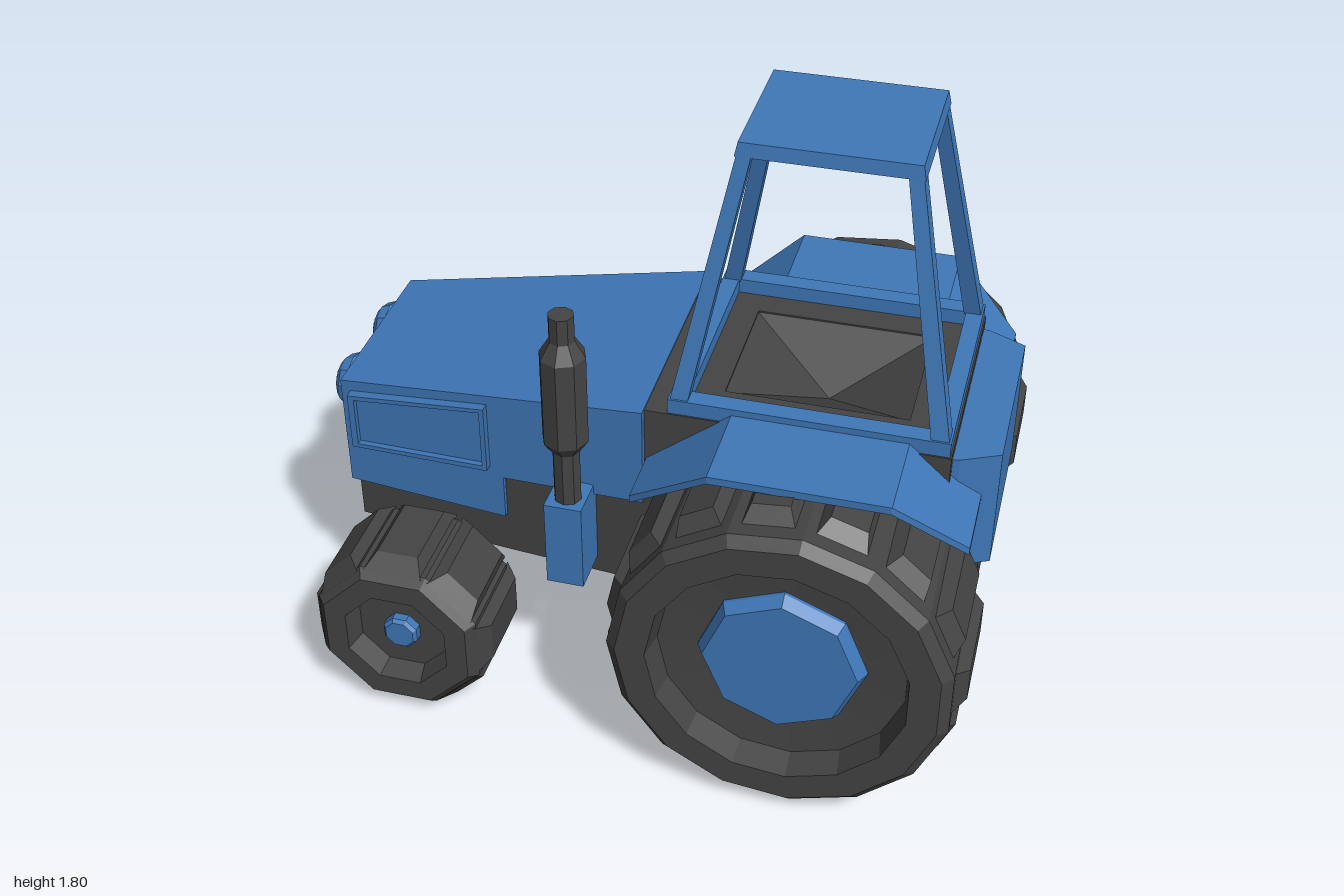
import * as THREE from 'three';

const mat = (color) => new THREE.MeshStandardMaterial({ color, flatShading: true, side: THREE.DoubleSide });

// Box between two rectangles [x0, x1, z0, z1] at heights y0 and y1
function taper(y0, a, y1, b) {
  const g = new THREE.BoxGeometry(1, 1, 1), p = g.attributes.position;
  for (let i = 0; i < p.count; i++) {
    const up = p.getY(i) > 0, r = up ? b : a;
    p.setXYZ(i, r[p.getX(i) > 0 ? 1 : 0], up ? y1 : y0, r[p.getZ(i) > 0 ? 3 : 2]);
  }
  g.computeVertexNormals();
  return g;
}

// Rectangular sections [x, yBottom, yTop, halfWidth] joined along x
function loft(sections) {
  const pos = [], idx = [], n = sections.length;
  for (const [x, b, t, w] of sections) pos.push(x, b, -w, x, b, w, x, t, w, x, t, -w);
  for (let i = 0; i < n - 1; i++) for (let k = 0; k < 4; k++) {
    const a = i * 4 + k, b = i * 4 + (k + 1) % 4;
    idx.push(a, a + 4, b + 4, a, b + 4, b);
  }
  const e = (n - 1) * 4;
  idx.push(0, 1, 2, 0, 2, 3, e, e + 2, e + 1, e, e + 3, e + 2);
  const g = new THREE.BufferGeometry();
  g.setAttribute('position', new THREE.Float32BufferAttribute(pos, 3));
  g.setIndex(idx);
  const flat = g.toNonIndexed();
  flat.computeVertexNormals();
  return flat;
}

// Turned part with its axis along +z; points are [radius, z]
function turned(points, sides, turn = 0) {
  const g = new THREE.LatheGeometry(points.map(([r, z]) => new THREE.Vector2(r, z)), sides);
  return g.rotateX(Math.PI / 2).rotateZ(turn);
}

export function createModel() {
  const blue = mat(0x3f78b8), dark = mat(0x444444);
  const model = new THREE.Group();
  model.name = 'tractor';
  const add = (name, geo, m, parent = model) => {
    const mesh = new THREE.Mesh(geo, m);
    mesh.name = name;
    parent.add(mesh);
    return mesh;
  };

  // Chassis, engine block and rear housing
  add('chassis', loft([[-0.91, 0.38, 0.56, 0.265], [-0.42, 0.38, 0.7, 0.315], [0.04, 0.385, 0.75, 0.36]]), dark);
  add('rearHousing', loft([[0.012, 0.385, 0.87, 0.355], [0.2, 0.26, 0.87, 0.355], [0.88, 0.26, 0.44, 0.355]]), dark);
  add('rearCore', taper(0.44, [0.3, 0.865, -0.355, 0.355], 0.87, [0.3, 0.865, -0.355, 0.355]), dark);
  add('rearSupport', loft([[0.86, 0.44, 0.62, 0.285], [0.89, 0.44, 0.62, 0.28], [0.96, 0.44, 0.62, 0.24]]), dark);

  // Hood with deeper nose
  add('hood', loft([[-0.93, 0.52, 0.885, 0.28], [-0.42, 0.52, 0.955, 0.333], [-0.42, 0.665, 0.955, 0.333], [0.015, 0.70, 1.015, 0.378]]), blue);

  // Raised side panel on one flank, made of a frame and a plate
  const flank = new THREE.Group();
  flank.name = 'sidePanel';
  const panel = new THREE.Shape([[-0.9, 0.67], [-0.46, 0.7], [-0.46, 0.92], [-0.9, 0.855]].map((p) => new THREE.Vector2(...p)));
  const opening = [[-0.88, 0.685], [-0.475, 0.715], [-0.475, 0.905], [-0.88, 0.843]].map((p) => new THREE.Vector2(...p));
  const frame = panel.clone();
  frame.holes.push(new THREE.Path(opening));
  const onFlank = (geo) => {
    const p = geo.attributes.position;
    for (let i = 0; i < p.count; i++) p.setZ(i, p.getZ(i) + 0.278 + (p.getX(i) + 0.93) * 0.103);
    geo.computeVertexNormals();
    return geo;
  };
  add('panelFrame', onFlank(new THREE.ExtrudeGeometry(frame, { depth: 0.03, bevelEnabled: false })), blue, flank);
  add('panelPlate', onFlank(new THREE.ExtrudeGeometry(new THREE.Shape(opening), { depth: 0.012, bevelEnabled: false })), blue, flank);
  model.add(flank);

  // Headlights
  for (const s of [1, -1]) {
    const lamp = turned([[0.078, 0], [0.085, 0.015], [0.075, 0.042], [0.055, 0.058], [0.045, 0.055], [0.025, 0.07], [0, 0.07]], 10);
    lamp.rotateY(-Math.PI / 2);
    add('headlight', lamp, blue).position.set(-0.93, 0.79, s * 0.145);
  }

  // Exhaust stack on its bracket box
  const stack = [[0, 0.72], [0.04, 0.72], [0.04, 0.89], [0.067, 0.93], [0.067, 1.21], [0.037, 1.26], [0.037, 1.34], [0, 1.34]];
  add('exhaust', new THREE.LatheGeometry(stack.map((p) => new THREE.Vector2(...p)), 8), dark).position.set(-0.19, 0, 0.43);
  const bracket = [-0.245, -0.135, 0.34, 0.485];
  add('exhaustBracket', taper(0.44, bracket, 0.72, bracket), blue);

  // Cab floor rim with a sunken well
  const rect = (C, x0, x1, z) => new C([[x0, -z], [x1, -z], [x1, z], [x0, z]].map((p) => new THREE.Vector2(...p)));
  const rim = rect(THREE.Shape, 0.012, 0.865, 0.355);
  rim.holes.push(rect(THREE.Path, 0.21, 0.73, 0.21));
  const rimGeo = new THREE.ExtrudeGeometry(rim, { depth: 0.14, bevelEnabled: false }).rotateX(-Math.PI / 2);
  add('cabFloorRim', rimGeo, dark).position.set(0, 0.87, 0);
  const well = new THREE.ConeGeometry(Math.SQRT1_2, 1, 4, 1, true).rotateY(Math.PI / 4).rotateX(Math.PI).scale(0.52, 0.12, 0.42);
  add('cabWell', well, dark).position.set(0.47, 0.945, 0);

  // Cab frame: sill, four leaning pillars and roof
  const sill = rect(THREE.Shape, 0.08, 0.86, 0.35);
  sill.holes.push(rect(THREE.Path, 0.13, 0.81, 0.295));
  const sillGeo = new THREE.ExtrudeGeometry(sill, { depth: 0.045, bevelEnabled: false }).rotateX(-Math.PI / 2);
  add('cabSill', sillGeo, blue).position.set(0, 1.01, 0);
  for (const sx of [-1, 1]) for (const sz of [-1, 1]) {
    const corner = (xo, xi, zo, zi) => [
      ...[0.47 + sx * xo, 0.47 + sx * xi].sort((a, b) => a - b), ...[sz * zo, sz * zi].sort((a, b) => a - b)];
    add('cabPillar', taper(1.05, corner(0.385, 0.335, 0.345, 0.29), 1.77, corner(0.242, 0.202, 0.215, 0.165)), blue);
  }
  add('cabRoof', taper(1.76, [0.222, 0.718, -0.219, 0.219], 1.8, [0.23, 0.71, -0.213, 0.213]), blue);

  // Rear box with splayed sides
  add('rearBox', loft([[0.85, 0.61, 0.985, 0.325], [0.885, 0.61, 0.985, 0.32], [0.993, 0.61, 0.985, 0.268]]), blue);

  // Fenders: bent plates over the rear wheels, [x, y, inner z, outer z]
  const bends = [[0.02, 0.83, 0.34, 0.53], [0.26, 1.02, 0.34, 0.628], [0.75, 1.02, 0.34, 0.628], [0.95, 0.84, 0.29, 0.52]];
  for (const s of [1, -1]) {
    const g = loft(bends.map(([x, y]) => [x, y - 0.008, y + 0.015, 1])), p = g.attributes.position;
    for (let i = 0; i < p.count; i++) {
      const b = bends.find((q) => Math.abs(q[0] - p.getX(i)) < 0.001);
      p.setZ(i, s * (p.getZ(i) * s > 0 ? b[3] : b[2]));
    }
    g.computeVertexNormals();
    add('fender', g, blue);
  }

  // Wheels: turned tyre and dish, separate hub, tapered tread lugs centred on the tyre's flats
  const wheel = (o, s, hubMat) => {
    const w = new THREE.Group();
    w.name = o.name;
    const step = Math.PI * 2 / o.lugs, h = o.lugWidth, [z0, z1] = o.lugZ;
    add('tyre', turned(o.tyre, o.lugs, Math.PI / 2 + step / 2), dark, w);
    add('hub', turned(o.hub, 8, o.hubTurn), hubMat, w);
    for (let i = 0; i < o.lugs; i++) {
      const lug = taper(o.r - o.lugHeight, [-h, h, z0, z1], o.r, [-h * 0.7, h * 0.7, z0 + 0.035, z1 - 0.055]);
      add('lug', lug.rotateZ(i * step - Math.PI / 2), dark, w);
    }
    w.position.set(o.x, o.y, 0);
    if (s < 0) w.rotation.x = Math.PI;
    model.add(w);
  };
  const rear = {
    name: 'rearWheel', x: 0.495, y: 0.51, r: 0.503, lugs: 15, lugWidth: 0.075, lugHeight: 0.042, lugZ: [0.36, 0.72],
    tyre: [[0, 0.58], [0.35, 0.58], [0.36, 0.36], [0.45, 0.36], [0.475, 0.38], [0.48, 0.755], [0.45, 0.782], [0.365, 0.782], [0.35, 0.7], [0.23, 0.69], [0, 0.69]],
    hub: [[0, 0.57], [0.235, 0.57], [0.235, 0.7], [0.215, 0.735], [0, 0.735]], hubTurn: 0,
  };
  const front = {
    name: 'frontWheel', x: -0.65, y: 0.28, r: 0.272, lugs: 8, lugWidth: 0.088, lugHeight: 0.035, lugZ: [0.36, 0.665],
    tyre: [[0, 0.48], [0.14, 0.48], [0.16, 0.36], [0.235, 0.36], [0.262, 0.385], [0.262, 0.655], [0.235, 0.683], [0.165, 0.683], [0.145, 0.62], [0, 0.62]],
    hub: [[0, 0.46], [0.055, 0.46], [0.055, 0.645], [0.045, 0.655], [0, 0.655]], hubTurn: Math.PI / 8,
  };
  for (const o of [rear, front]) {
    wheel(o, 1, blue);
    wheel(o, -1, dark);
  }

  // Axles
  add('frontAxle', new THREE.CylinderGeometry(0.035, 0.035, 1, 8).rotateX(Math.PI / 2), dark).position.set(-0.65, 0.28, 0);
  add('rearAxle', new THREE.CylinderGeometry(0.07, 0.07, 1.18, 8).rotateX(Math.PI / 2), dark).position.set(0.495, 0.51, 0);
  return model;
}
